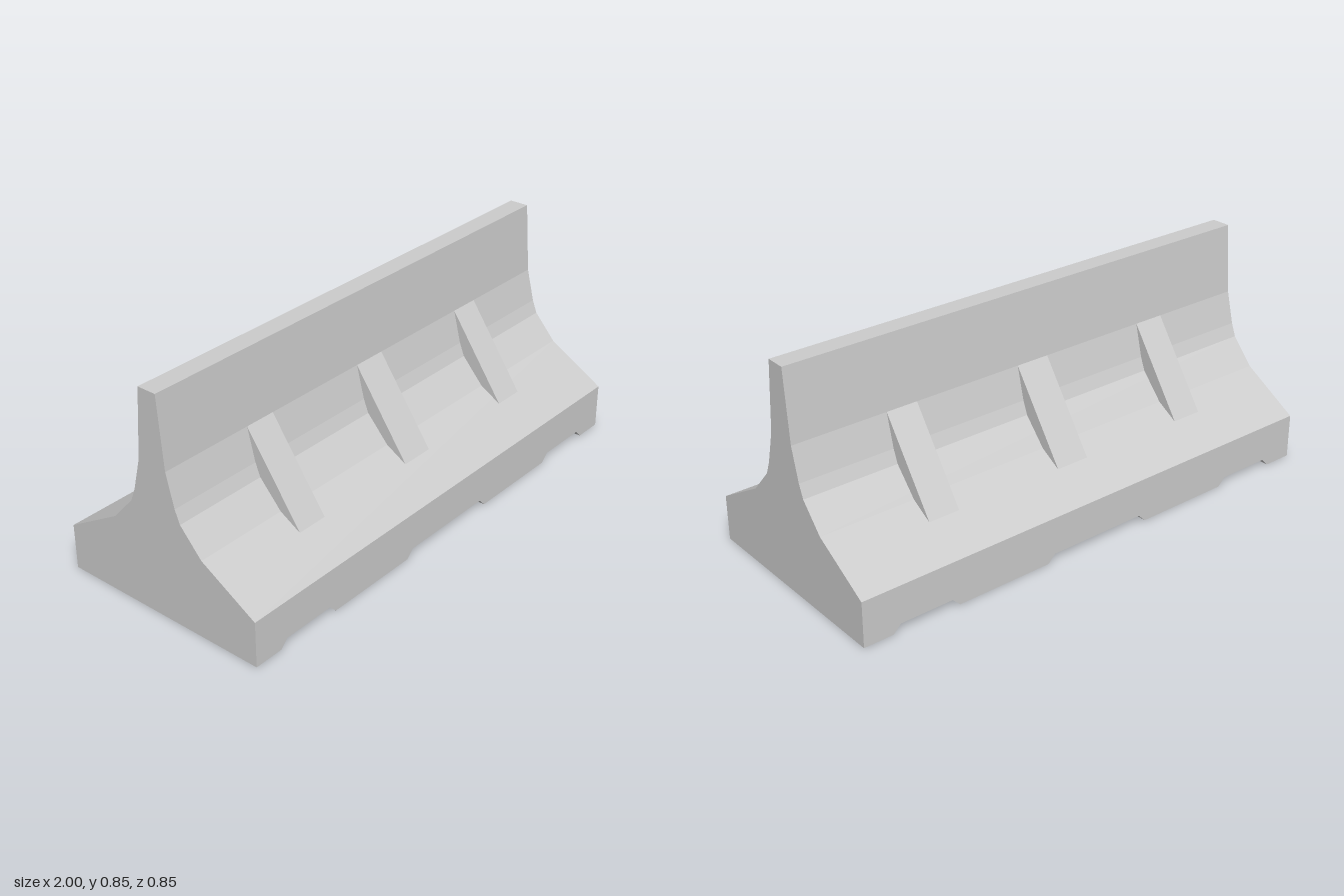
import * as THREE from 'three';

const material = new THREE.MeshStandardMaterial({ color: 0xcccccc, flatShading: true });

// Extrude an outline by a depth centred on z = 0
function prism(points, depth) {
  const shape = new THREE.Shape(points.map(([x, y]) => new THREE.Vector2(x, y)));
  return new THREE.ExtrudeGeometry(shape, { depth, bevelEnabled: false }).translate(0, 0, -depth / 2);
}

// Complete a half outline (bottom to top) with its mirror image
const mirrored = (half) => [...half, ...half.map(([x, y]) => [-x, y]).reverse()];

function addPart(group, name, geometry) {
  const mesh = new THREE.Mesh(geometry, material);
  mesh.name = name;
  group.add(mesh);
  return mesh;
}

export function createModel() {
  const group = new THREE.Group();
  group.name = 'roadBarrier';
  const baseTop = 0.175, notch = 0.03;

  // Base slab with three drainage notches running front to back
  const base = [[-1, baseTop], [-1, 0]];
  for (const [a, b] of [[-0.885, -0.615], [-0.23, 0.23], [0.615, 0.885]]) {
    base.push([a, 0], [a + 0.03, notch], [b - 0.03, notch], [b, 0]);
  }
  base.push([1, 0], [1, baseTop]);
  addPart(group, 'base', prism(base, 0.85));

  // Flared wall, its cross-section swept along x
  const wall = mirrored([
    [0.425, baseTop], [0.2, 0.307], [0.112, 0.405],
    [0.092, 0.455], [0.06, 0.58], [0.038, 0.85],
  ]);
  addPart(group, 'wall', prism(wall, 2).rotateY(Math.PI / 2));

  // Sloping ribs that pass through the wall and show on both sides
  const rib = mirrored([[0.284, 0.258], [0.06, 0.58]]);
  for (const [x, width] of [[-0.568, 0.124], [0, 0.136], [0.568, 0.124]]) {
    addPart(group, 'rib', prism(rib, width).rotateY(Math.PI / 2)).position.x = x;
  }
  return group;
}
